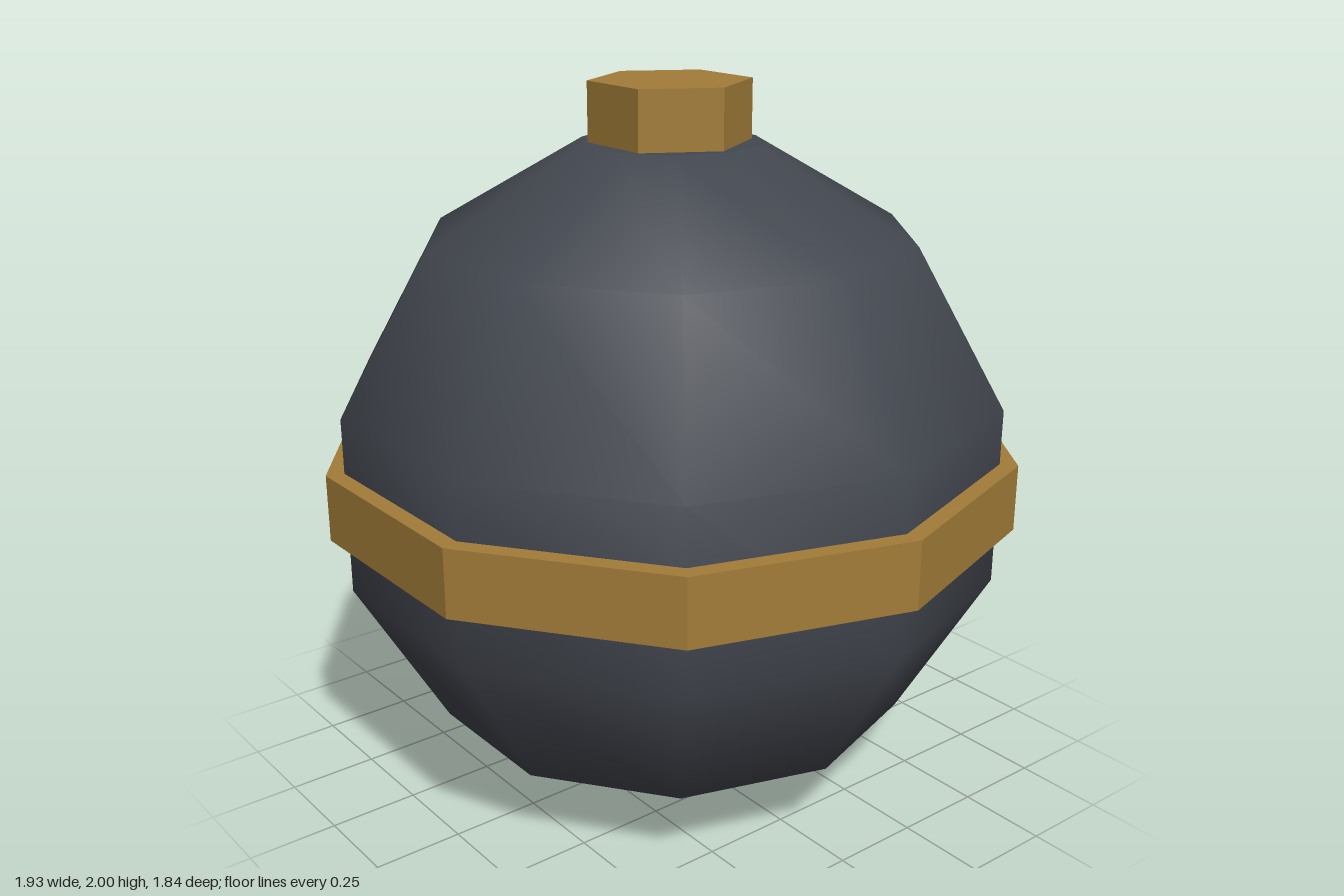
import * as THREE from 'three';

const SIDES = 10;
const BODY_HEIGHT = 1.84;

function material(name, color, flatShading = false) {
  const m = new THREE.MeshStandardMaterial({ color, flatShading });
  m.name = name;
  return m;
}

// Revolves [radius, y] points, with a corner on the x axis
function revolve(points) {
  return new THREE.LatheGeometry(points.map(([r, y]) => new THREE.Vector2(r, y)), SIDES, Math.PI / 2);
}

export function createModel() {
  const model = new THREE.Group();
  const dark = material('dark grey', 0x43474f);
  const brass = material('brass', 0xa27c39, true);

  const add = (name, geometry, mat, parent = model) => {
    const mesh = new THREE.Mesh(geometry, mat);
    mesh.name = name;
    parent.add(mesh);
    return mesh;
  };

  // Faceted ball with smooth, spherical normals
  const body = new THREE.Group();
  body.name = 'body';
  model.add(body);
  const shell = revolve([[0.246, 0], [0.672, 0.247], [0.918, 0.674], [0.918, 1.166], [0.672, 1.593], [0.246, BODY_HEIGHT]]);
  const pos = shell.attributes.position;
  const n = new THREE.Vector3();
  for (let i = 0; i < pos.count; i++) {
    n.fromBufferAttribute(pos, i);
    n.y -= BODY_HEIGHT / 2;
    n.normalize();
    shell.attributes.normal.setXYZ(i, n.x, n.y, n.z);
  }
  add('shell', shell, dark, body);

  // Flat ends of the ball
  for (const [name, y, tilt] of [['topCap', BODY_HEIGHT, -1], ['bottomCap', 0, 1]]) {
    const cap = add(name, new THREE.CircleGeometry(0.246, SIDES), dark, body);
    cap.rotation.x = tilt * Math.PI / 2;
    cap.position.y = y;
  }

  // Band around the middle
  add('band', revolve([[0.9, 0.83], [0.967, 0.83], [0.967, 1.015], [0.9, 1.015]]), brass);

  // Hexagonal stopper
  const stopper = add('stopper', new THREE.CylinderGeometry(0.22, 0.22, 0.16, 6, 1, false, Math.PI / 2), brass);
  stopper.position.y = 1.92;

  return model;
}
